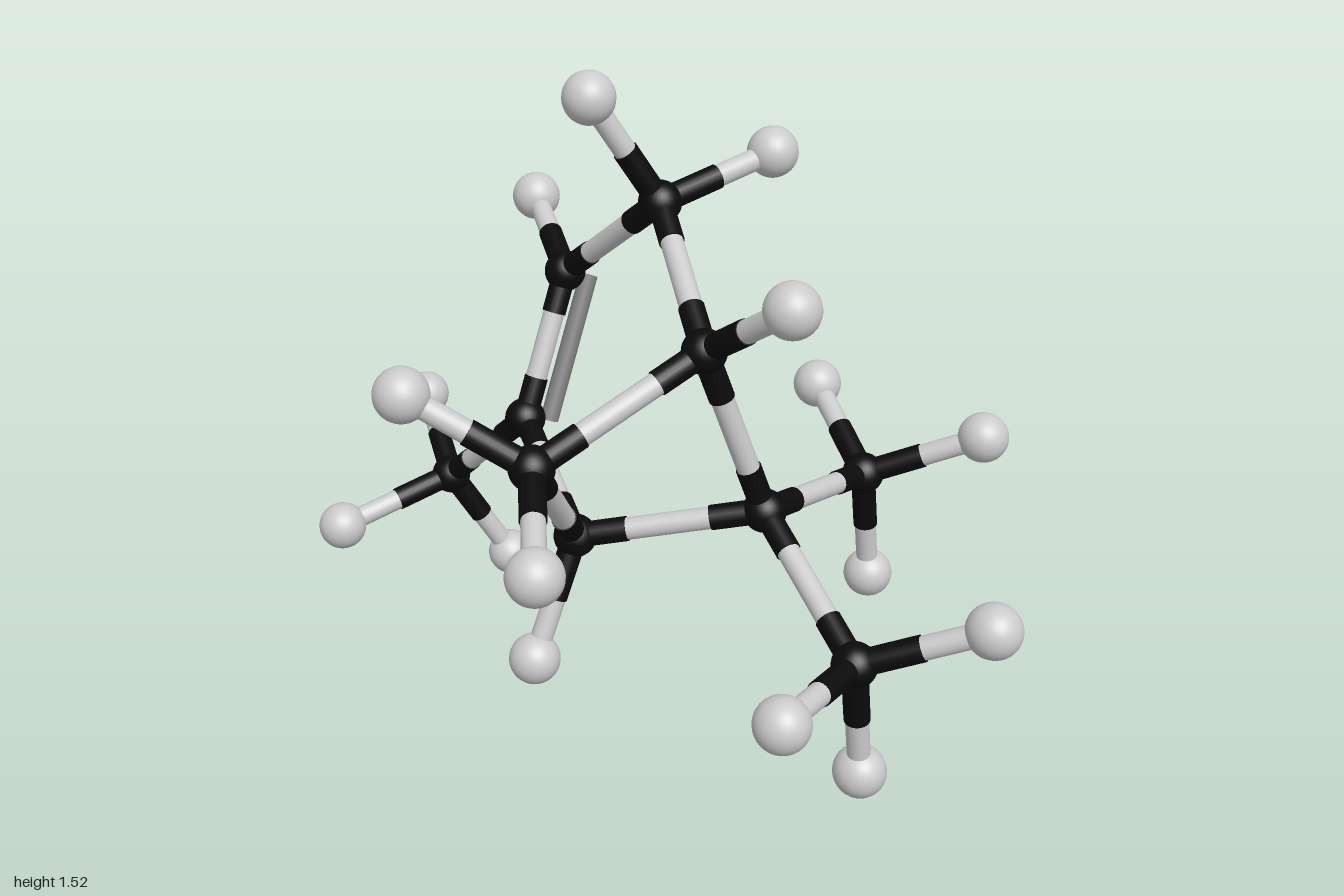
import * as THREE from 'three';

const grey = new THREE.MeshStandardMaterial({ color: 0xcccccc });
const black = new THREE.MeshStandardMaterial({ color: 0x0b0b0b });
const darkGrey = new THREE.MeshStandardMaterial({ color: 0x808080 });
const UP = new THREE.Vector3(0, 1, 0);
const V = (p) => new THREE.Vector3(...p);

// Carbon centres, each with the hydrogens attached to it
const carbons = {
  top: { at: [-0.065, 1.21, -0.14], h: [[-0.14, 1.465, 0.005], [0.015, 1.28, -0.428]] },
  leftUpper: { at: [-0.395, 0.945, -0.145], h: [[-0.65, 1.04, -0.28]] },
  leftLower: { at: [-0.375, 0.605, 0.015], h: [] },
  bottom: { at: [0, 0.505, 0.195], h: [[0, 0.23, 0.328]] },
  rightLower: { at: [0.335, 0.6, -0.075], h: [] },
  rightUpper: { at: [0.265, 1.013, 0.058], h: [[0.515, 1.19, 0.075]] },
  bridge: { at: [0.145, 0.833, 0.443], h: [[-0.06, 0.988, 0.61], [0.375, 0.762, 0.64]] },
  leftMethyl: {
    at: [-0.68, 0.328, 0.02],
    h: [[-0.94, 0.43, -0.11], [-0.76, 0.26, 0.32], [-0.605, 0.063, -0.112]],
  },
  rightMethyl: {
    at: [0.71, 0.436, 0.055],
    h: [[0.94, 0.56, -0.098], [0.77, 0.475, 0.356], [0.71, 0.132, 0.01]],
  },
  backMethyl: {
    at: [0.293, 0.52, -0.485],
    h: [[0.293, 0.216, -0.532], [0.52, 0.645, -0.642], [0.03, 0.625, -0.618]],
  },
};

const links = [
  ['top', 'leftUpper'], ['leftUpper', 'leftLower'], ['leftLower', 'bottom'],
  ['bottom', 'rightLower'], ['rightLower', 'rightUpper'], ['rightUpper', 'top'],
  ['rightUpper', 'bridge'], ['bridge', 'bottom'], ['leftLower', 'leftMethyl'],
  ['rightLower', 'rightMethyl'], ['rightLower', 'backMethyl'],
];

function ball(name, p, radius, material) {
  const mesh = new THREE.Mesh(new THREE.SphereGeometry(radius, 28, 18), material);
  mesh.position.copy(p);
  mesh.name = name;
  return mesh;
}

// Cylinder between two points
function rod(name, a, b, radius, material) {
  const d = b.clone().sub(a);
  const mesh = new THREE.Mesh(new THREE.CylinderGeometry(radius, radius, d.length(), 20), material);
  mesh.position.copy(a).lerp(b, 0.5);
  mesh.quaternion.setFromUnitVectors(UP, d.normalize());
  mesh.name = name;
  return mesh;
}

export function createModel() {
  const model = new THREE.Group();
  model.name = 'molecule';

  // Atoms and the half black, half grey hydrogen bonds
  for (const [name, { at, h }] of Object.entries(carbons)) {
    const c = V(at);
    const group = new THREE.Group();
    group.name = name + 'Carbon';
    group.add(ball('carbonAtom', c, 0.05, black));
    for (const q of h) {
      const p = V(q);
      const mid = c.clone().lerp(p, 0.5);
      group.add(
        ball('hydrogenAtom', p, 0.06, grey),
        rod('hydrogenBondDark', c, mid, 0.029, black),
        rod('hydrogenBondLight', mid, p, 0.026, grey),
      );
    }
    model.add(group);
  }

  // Carbon bonds: black sleeves at both ends, grey in the middle
  for (const [m, n] of links) {
    const a = V(carbons[m].at), b = V(carbons[n].at);
    const a1 = a.clone().lerp(b, 0.28), b1 = b.clone().lerp(a, 0.28);
    model.add(
      rod('carbonBondEnd', a, a1, 0.029, black),
      rod('carbonBondMiddle', a1, b1, 0.026, grey),
      rod('carbonBondEnd', b1, b, 0.029, black),
    );
  }

  // Second bar of the double bond, beside the first
  const offset = new THREE.Vector3(0, -0.033, -0.078);
  const from = V(carbons.leftUpper.at).add(offset), to = V(carbons.leftLower.at).add(offset);
  model.add(rod('doubleBondBar', from, to, 0.023, darkGrey));

  return model;
}
